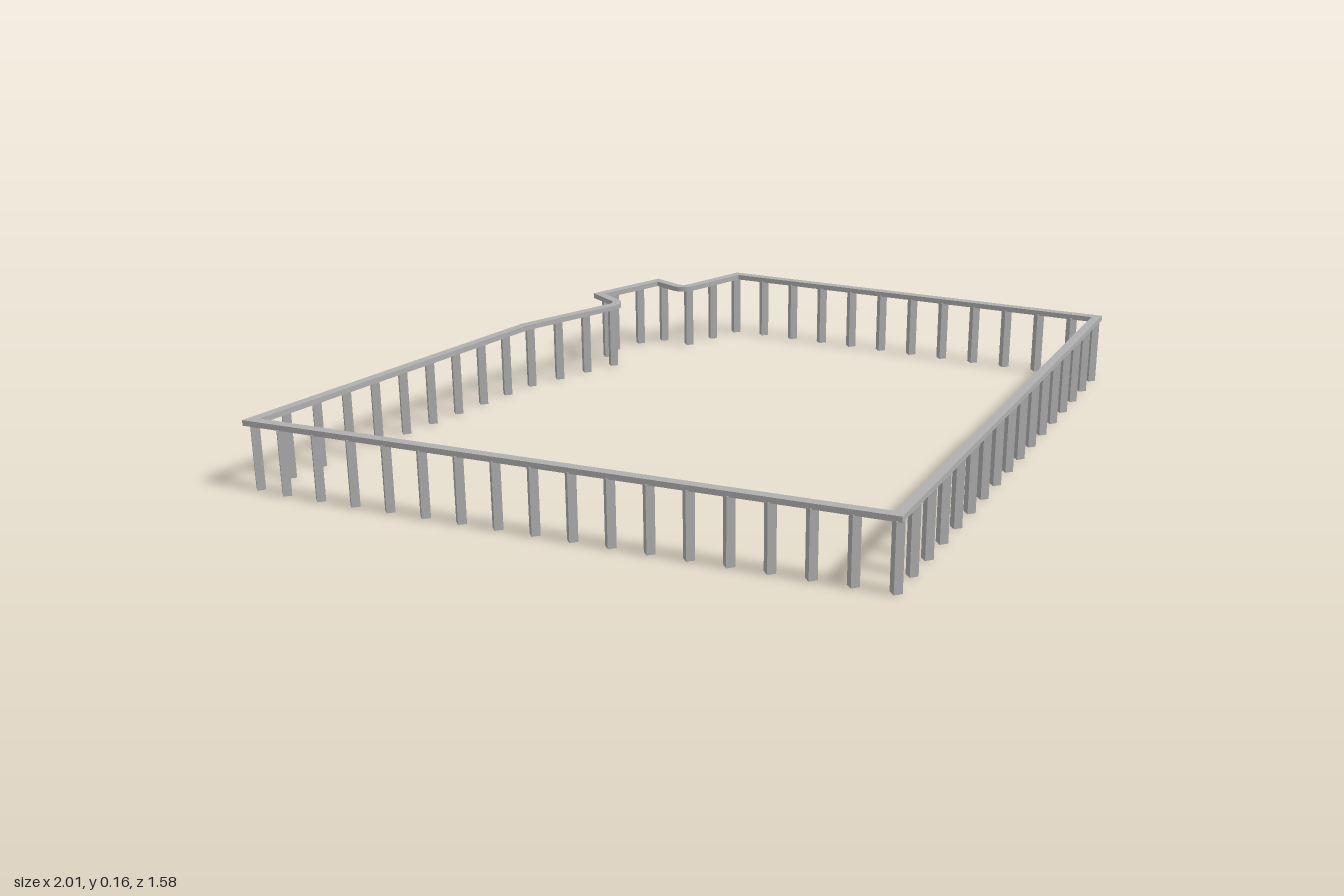
import * as THREE from 'three';
import { toCreasedNormals } from 'three/addons/utils/BufferGeometryUtils.js';

const POSTS = 65, POST_W = 0.018;
const RAIL_W = 0.02, RAIL_BOTTOM = 0.143, RAIL_TOP = 0.155;

// Plan of the fence as [x, z, fillet length]
const corners = [
  [0.055, 0.775], [0.988, -0.133], [0.299, -0.764], [0.126, -0.694, 0.03],
  [0.086, -0.776], [-0.088, -0.71], [-0.058, -0.617, 0.03], [-0.32, -0.522], [-0.988, -0.086],
];

// Rail section as [sideways, height]
const section = [
  [RAIL_W / 2, RAIL_BOTTOM], [RAIL_W / 2, RAIL_TOP],
  [-RAIL_W / 2, RAIL_TOP], [-RAIL_W / 2, RAIL_BOTTOM],
];

// Closed plan path with the marked corners rounded
function planPath() {
  const path = new THREE.Path();
  const at = (i) => new THREE.Vector2(...corners[i % corners.length].slice(0, 2));
  path.moveTo(corners[0][0], corners[0][1]);
  for (let i = 1; i <= corners.length; i++) {
    const p = at(i), fillet = corners[i % corners.length][2];
    if (!fillet) { path.lineTo(p.x, p.y); continue; }
    const towards = (q) => q.sub(p).setLength(fillet).add(p);
    const a = towards(at(i - 1)), b = towards(at(i + 1));
    path.lineTo(a.x, a.y);
    path.quadraticCurveTo(p.x, p.y, b.x, b.y);
  }
  return path;
}

// Flat rail swept around the plan with mitred corners
function railGeometry(path) {
  const pts = path.getPoints(6);
  if (pts[0].distanceTo(pts[pts.length - 1]) < 1e-6) pts.pop();
  const n = pts.length, sides = section.length, pos = [], index = [];
  for (let i = 0; i < n; i++) {
    const p = pts[i];
    const d0 = p.clone().sub(pts[(i + n - 1) % n]).normalize();
    const d1 = pts[(i + 1) % n].clone().sub(p).normalize();
    const n0 = new THREE.Vector2(-d0.y, d0.x), n1 = new THREE.Vector2(-d1.y, d1.x);
    const miter = n0.clone().add(n1).normalize();
    miter.divideScalar(miter.dot(n1));
    section.forEach(([s, y], j) => {
      pos.push(p.x + miter.x * s, y, p.y + miter.y * s);
      const k = (j + 1) % sides, next = ((i + 1) % n) * sides;
      const a = i * sides + j, b = i * sides + k;
      index.push(a, next + j, b, b, next + j, next + k);
    });
  }
  const geo = new THREE.BufferGeometry();
  geo.setAttribute('position', new THREE.Float32BufferAttribute(pos, 3));
  geo.setIndex(index);
  return toCreasedNormals(geo, 0.6);
}

export function createModel() {
  const group = new THREE.Group();
  group.name = 'railing';
  const metal = new THREE.MeshStandardMaterial({ color: 0xb0b0b0 });
  metal.name = 'grey metal';
  const path = planPath();

  const rail = new THREE.Mesh(railGeometry(path), metal);
  rail.name = 'topRail';
  group.add(rail);

  // Square posts evenly spaced along the rail
  const posts = new THREE.Group();
  posts.name = 'posts';
  const postHeight = RAIL_BOTTOM + 0.002;
  const postGeo = new THREE.BoxGeometry(POST_W, postHeight, POST_W);
  for (let i = 0; i < POSTS; i++) {
    const p = path.getPoint(i / POSTS);
    const post = new THREE.Mesh(postGeo, metal);
    post.name = 'post';
    post.position.set(p.x, postHeight / 2, p.y);
    posts.add(post);
  }
  group.add(posts);
  return group;
}
